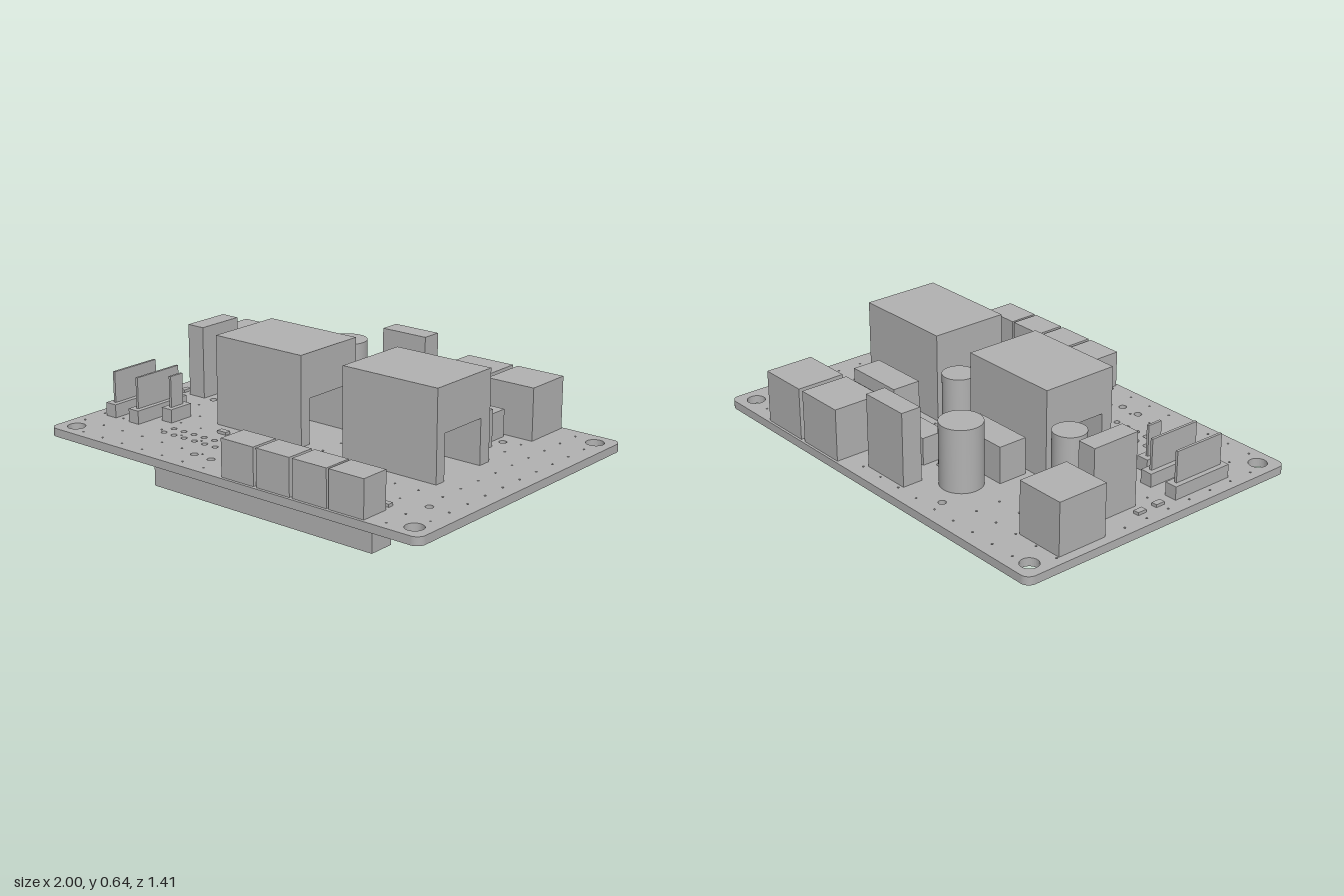
import * as THREE from 'three';

const BOTTOM = 0.203, TOP = 0.24;

export function createModel() {
  const model = new THREE.Group();
  model.name = 'circuitBoardAssembly';
  const grey = new THREE.MeshStandardMaterial({ color: 0xb2b2b2 });
  grey.name = 'plain grey';
  const footprints = [];

  const add = (name, geometry) => {
    const mesh = new THREE.Mesh(geometry, grey);
    mesh.name = name;
    model.add(mesh);
    return mesh;
  };
  // Block given by its x, z and height limits
  const block = (name, x0, x1, z0, z1, y1, y0 = TOP) => {
    add(name, new THREE.BoxGeometry(x1 - x0, y1 - y0, z1 - z0))
      .position.set((x0 + x1) / 2, (y0 + y1) / 2, (z0 + z1) / 2);
    if (y0 >= TOP) footprints.push([x0, x1, z0, z1]);
  };
  const can = (name, x, z, r, y1) => {
    add(name, new THREE.CylinderGeometry(r, r, y1 - TOP, 48)).position.set(x, (y1 + TOP) / 2, z);
    footprints.push([x - r, x + r, z - r, z + r]);
  };

  // Connectors along the back and side edges
  for (const x of [0.21, 0.47]) block('backConnector', x, x + 0.235, -0.692, -0.467, 0.475);
  block('sideConnector', -0.957, -0.73, -0.51, -0.273, 0.475);
  block('backFilmCapacitor', -0.145, 0.09, -0.621, -0.528, 0.57);
  block('sideFilmCapacitor', -0.857, -0.768, -0.245, -0.017, 0.57);

  // Round capacitors
  can('largeCapacitor', -0.265, -0.418, 0.093, 0.522);
  can('smallCapacitor', -0.573, -0.114, 0.073, 0.5);
  can('smallCapacitor', 0.123, -0.114, 0.073, 0.5);

  // Two matching power stages, each with a bridge-shaped module
  const arch = new THREE.Shape([
    [-0.143, TOP], [-0.143, 0.64], [0.215, 0.64], [0.215, TOP],
    [0.162, TOP], [0.162, 0.442], [-0.08, 0.442], [-0.08, TOP],
  ].map(([z, y]) => new THREE.Vector2(z, y)));
  for (const [x0, x1] of [[-0.467, 0.011], [0.234, 0.712]]) {
    const geometry = new THREE.ExtrudeGeometry(arch, { depth: x1 - x0, bevelEnabled: false });
    geometry.rotateY(-Math.PI / 2).translate(x1, 0, 0);
    add('bridgeModule', geometry);
    footprints.push([x0, x1, -0.143, 0.215]);
  }
  for (const x of [-0.372, 0.328]) block('relay', x, x + 0.286, -0.305, -0.17, 0.405);
  for (const x of [-0.047, 0.355]) block('fuseHolder', x, x + 0.222, -0.443, -0.327, 0.363);

  // Row of terminals at the front with small chips behind them
  for (const x of [0, 0.187, 0.374, 0.557]) block('frontTerminal', x, x + 0.172, 0.555, 0.69, 0.405);
  for (const x of [0.032, 0.116, 0.22, 0.304, 0.416, 0.5, 0.593, 0.675])
    block('smallChip', x, x + 0.045, 0.5, 0.527, 0.253);
  block('smallChip', -0.387, -0.338, 0.275, 0.303, 0.253);
  block('smallChip', -0.92, -0.893, -0.062, -0.018, 0.253);
  block('smallChip', -0.92, -0.893, 0.037, 0.082, 0.253);

  // Sockets holding upright blades
  for (const [x, z0, z1] of [[-0.897, 0.137, 0.437], [-0.757, 0.137, 0.437], [-0.66, 0.21, 0.332]]) {
    block('bladeSocket', x - 0.029, x + 0.029, z0, z1, 0.3);
    block('blade', x - 0.006, x + 0.006, z0 + 0.025, z1 - 0.025, 0.44, 0.3);
  }

  // Header below the board
  block('undersideHeader', -0.598, 0.598, 0.355, 0.475, BOTTOM, 0);

  // Board outline with rounded corners
  const r = 0.04, w = 1, d = 0.703;
  const outline = new THREE.Shape();
  outline.absarc(w - r, d - r, r, 0, Math.PI / 2);
  outline.absarc(-w + r, d - r, r, Math.PI / 2, Math.PI);
  outline.absarc(-w + r, -d + r, r, Math.PI, Math.PI * 1.5);
  outline.absarc(w - r, -d + r, r, Math.PI * 1.5, Math.PI * 2);
  outline.closePath();

  // Holes through the board
  const holes = [];
  const drill = (x, z, radius, sides) => {
    const points = [];
    for (let i = 0; i < sides; i++) {
      const a = -2 * Math.PI * i / sides;
      points.push(new THREE.Vector2(x + radius * Math.cos(a), -z + radius * Math.sin(a)));
    }
    outline.holes.push(new THREE.Path(points));
    holes.push([x, z, radius]);
  };
  for (const x of [-0.918, 0.918]) for (const z of [-0.623, 0.623]) drill(x, z, 0.04, 32);
  for (const [x, z] of [[-0.342, -0.58], [-0.086, -0.383], [0.214, -0.383], [0.315, -0.383],
    [0.615, -0.383], [-0.72, -0.027], [-0.273, 0.562], [-0.178, 0.562], [0.834, 0.42]]) drill(x, z, 0.017, 16);
  for (let i = 0; i < 20; i++)
    for (const z of [0.38, 0.44]) drill(-0.57 + i * 0.06, z, 0.0135, 12);

  // Grid of tiny holes on the free board area
  const isFree = (x, z) =>
    !footprints.some(([x0, x1, z0, z1]) => x > x0 - 0.01 && x < x1 + 0.01 && z > z0 - 0.01 && z < z1 + 0.01) &&
    !holes.some(([hx, hz, hr]) => Math.hypot(x - hx, z - hz) < hr + 0.012);
  for (let i = 0; i < 17; i++)
    for (let j = 0; j < 12; j++) {
      const x = -0.955 + i * 0.1177, z = -0.638 + j * 0.1177;
      if (isFree(x, z)) drill(x, z, 0.005, 6);
    }

  const board = new THREE.ExtrudeGeometry(outline, { depth: TOP - BOTTOM, bevelEnabled: false, curveSegments: 10 });
  add('board', board.rotateX(-Math.PI / 2).translate(0, BOTTOM, 0));
  return model;
}
